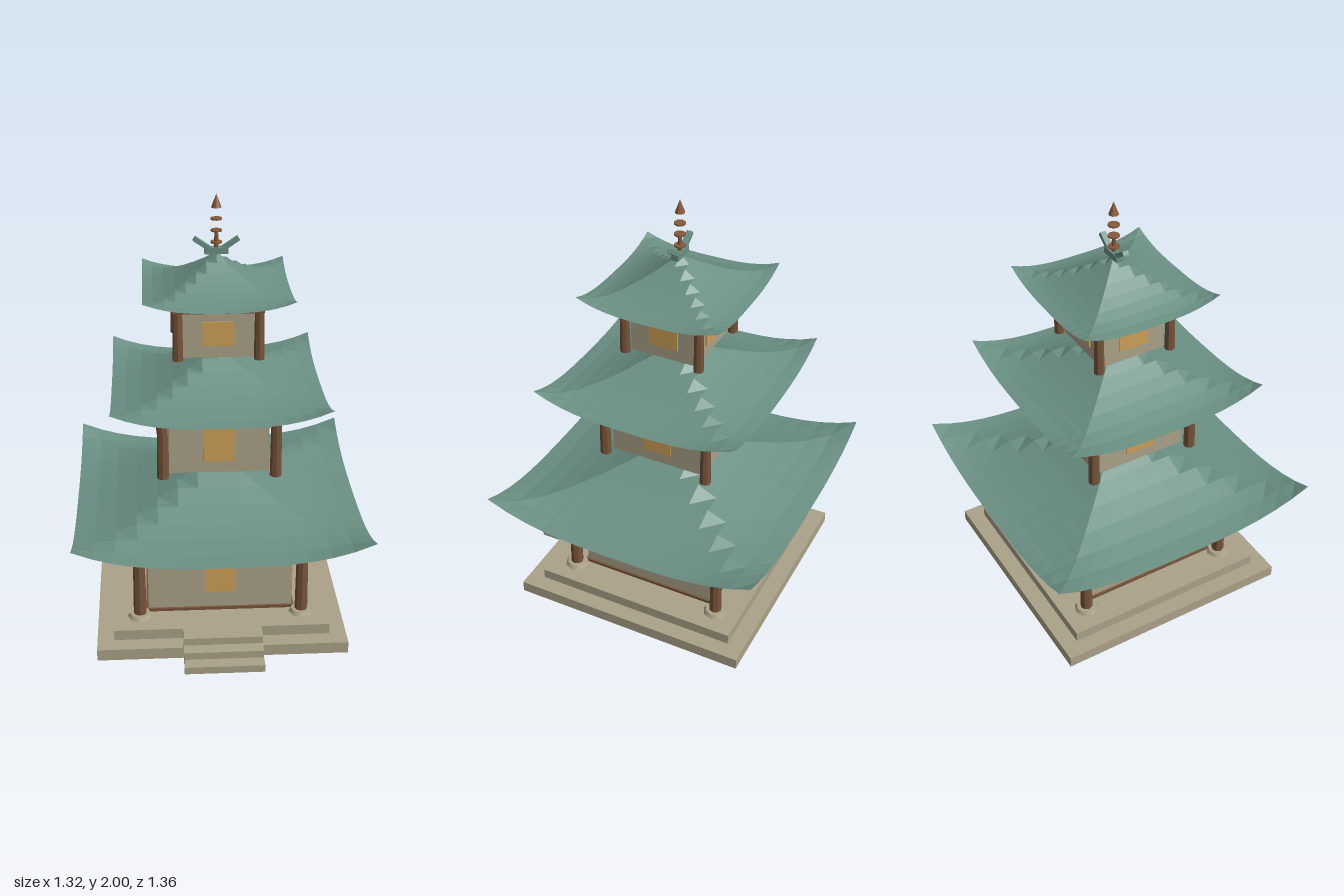
import * as THREE from 'three';

const mat = (name, color, extra = {}) => {
  const m = new THREE.MeshStandardMaterial({ color, ...extra });
  m.name = name;
  return m;
};

export function createModel() {
  const stone = mat('stone', 0xaba289);
  const plaster = mat('plaster', 0xaaa188);
  const wood = mat('wood', 0x77543a, { flatShading: true });
  const paper = mat('window amber', 0xcea055);
  const tile = mat('roof green', 0x6a8f83, { side: THREE.DoubleSide, flatShading: true });
  const bronze = mat('bronze', 0x87593a, { flatShading: true });

  const model = new THREE.Group();
  model.name = 'pagoda';
  const tower = new THREE.Group();
  tower.name = 'tower';
  tower.position.z = -0.018;
  model.add(tower);

  const add = (parent, name, geo, material, x = 0, y = 0, z = 0) => {
    const m = new THREE.Mesh(geo, material);
    m.name = name;
    m.position.set(x, y, z);
    parent.add(m);
    return m;
  };
  // box given by its bottom and top heights
  const slab = (parent, name, w, y0, y1, d, material, x = 0, z = 0) =>
    add(parent, name, new THREE.BoxGeometry(w, y1 - y0, d), material, x, (y0 + y1) / 2, z);

  // square roof sheet: concave slopes with corners that sweep up
  const roofGeometry = (half, eave, apex, lift) => {
    const n = 14, pos = [], index = [];
    for (let j = 0; j <= n; j++) for (let i = 0; i <= n; i++) {
      const u = (2 * i) / n - 1, v = (2 * j) / n - 1;
      const a = Math.abs(u), b = Math.abs(v);
      const y = eave + (apex - eave) * Math.pow(1 - Math.max(a, b), 1.6) + lift * Math.pow(a * b, 3);
      pos.push(u * half, y, v * half);
    }
    for (let j = 0; j < n; j++) for (let i = 0; i < n; i++) {
      const p = j * (n + 1) + i, q = p + 1, r = p + n + 1, s = r + 1;
      index.push(p, r, s, p, s, q);
    }
    const g = new THREE.BufferGeometry();
    g.setAttribute('position', new THREE.Float32BufferAttribute(pos, 3));
    g.setIndex(index);
    g.computeVertexNormals();
    return g;
  };

  // stepped stone base
  slab(tower, 'lowerPlinth', 1.144, 0, 0.055, 1.144, stone);
  slab(tower, 'upperPlinth', 0.99, 0.055, 0.105, 0.99, stone);
  // front steps
  [[0.68, 0, 0.035], [0.62, 0.035, 0.07], [0.56, 0.07, 0.105]].forEach(([front, y0, y1], i) =>
    slab(model, 'step' + (i + 1), 0.36, y0, y1, front - 0.4, stone, 0, (front + 0.4) / 2));
  slab(tower, 'sill', 0.69, 0.105, 0.119, 0.69, wood);

  const storeys = [
    { wall: 0.335, y0: 0.115, beam: [0.47, 0.506], beamHalf: 0.377, col: 0.375, r: 0.03, colY: 0.115,
      win: [0.2, 0.37], roof: [0.662, 0.52, 0.775, 0.1] },
    { wall: 0.228, y0: 0.768, beam: [1.048, 1.082], beamHalf: 0.278, col: 0.256, r: 0.027, colY: 0.76,
      win: [0.825, 0.995], roof: [0.482, 1.1, 1.305, 0.073] },
    { wall: 0.16, y0: 1.303, beam: [1.52, 1.547], beamHalf: 0.2, col: 0.18, r: 0.024, colY: 1.3,
      win: [1.36, 1.47], roof: [0.331, 1.567, 1.74, 0.048] },
  ];

  storeys.forEach((s, k) => {
    const g = new THREE.Group();
    g.name = 'storey' + (k + 1);
    tower.add(g);
    slab(g, 'walls', s.wall * 2, s.y0, s.beam[0] + 0.01, s.wall * 2, plaster);

    // one window and one beam on each side
    const t = 0.045, h = s.beamHalf;
    for (let i = 0; i < 4; i++) {
      const side = new THREE.Group();
      side.name = 'side' + (i + 1);
      side.rotation.y = (i * Math.PI) / 2;
      g.add(side);
      slab(side, 'window', 0.14, s.win[0], s.win[1], 0.008, paper, 0, s.wall + 0.003);
      slab(side, 'beam', 2 * h - t, s.beam[0], s.beam[1], t, wood, t / 2, h - t / 2);
    }

    // corner columns
    const height = s.beam[0] + 0.006 - s.colY;
    for (const x of [-1, 1]) for (const z of [-1, 1]) {
      add(g, 'column', new THREE.CylinderGeometry(s.r * 0.87, s.r, height, 8), wood,
        x * s.col, s.colY + height / 2, z * s.col);
      if (k === 0) add(g, 'columnBase', new THREE.CylinderGeometry(0.048, 0.058, 0.018, 8), stone,
        x * s.col, 0.114, z * s.col);
    }
    add(g, 'roof', roofGeometry(...s.roof), tile);
  });

  // ridge ornament with raised wings
  slab(tower, 'ridgeBlock', 0.106, 1.733, 1.762, 0.034, tile);
  for (const x of [-1, 1]) {
    const wing = add(tower, 'ridgeWing', new THREE.BoxGeometry(0.085, 0.02, 0.027), tile, x * 0.063, 1.778, 0);
    wing.rotation.z = x * 0.6;
  }

  // spire
  add(tower, 'spirePole', new THREE.CylinderGeometry(0.008, 0.011, 0.1, 8), bronze, 0, 1.79, 0);
  for (const y of [1.785, 1.838, 1.89])
    add(tower, 'spireRing', new THREE.CylinderGeometry(0.026, 0.026, 0.007, 12), bronze, 0, y, 0);
  add(tower, 'spireTip', new THREE.ConeGeometry(0.023, 0.06, 8), bronze, 0, 1.97, 0);

  return model;
}
